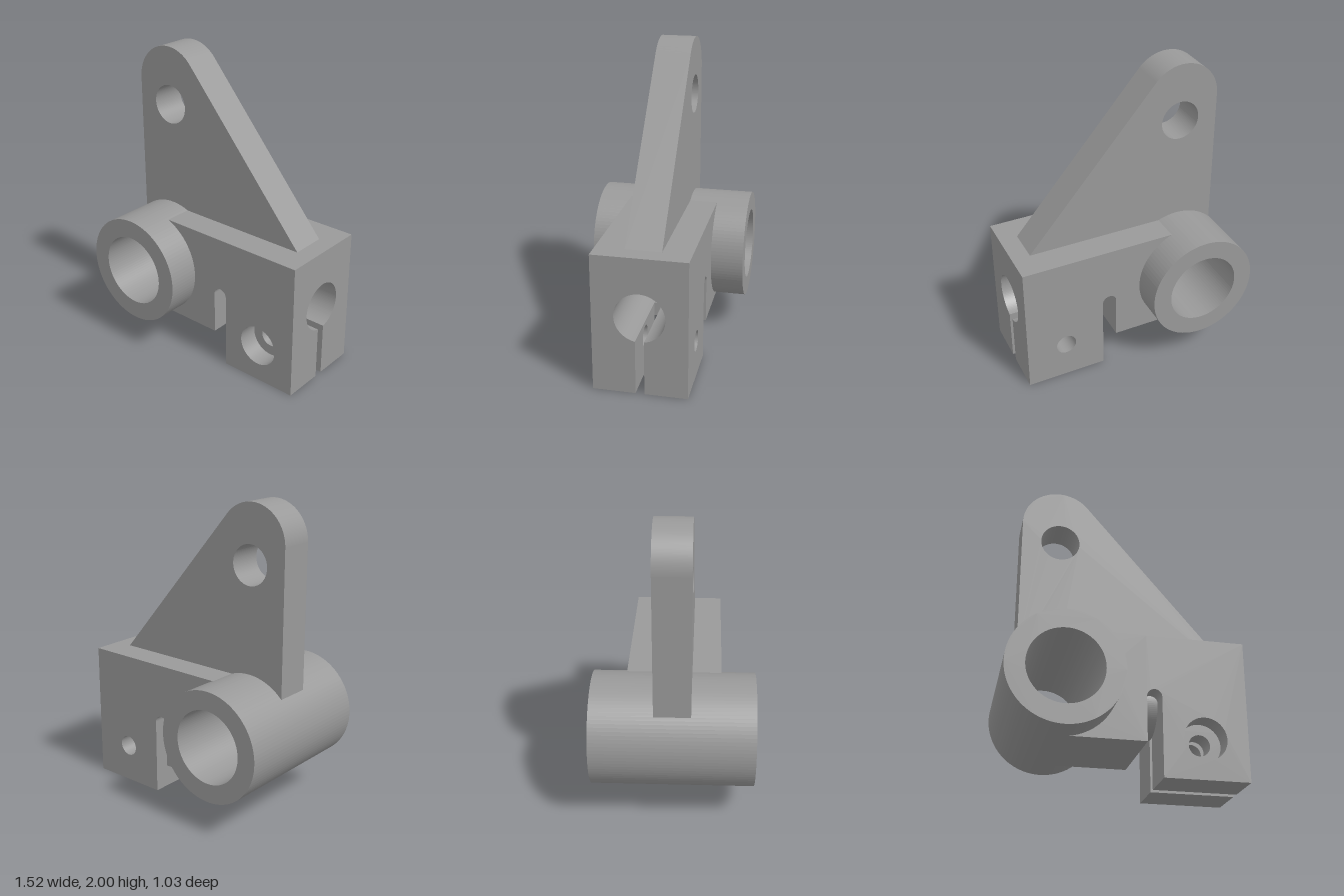
import * as THREE from 'three';

export function createModel() {
  const model = new THREE.Group();
  model.name = 'pivotBracket';
  const metal = new THREE.MeshStandardMaterial({ color: 0x999999 });
  metal.name = 'grey metal';

  const add = (name, geometry) => {
    const mesh = new THREE.Mesh(geometry, metal);
    mesh.name = name;
    model.add(mesh);
  };
  const extrude = (shape, depth) =>
    new THREE.ExtrudeGeometry(shape, { depth, bevelEnabled: false, curveSegments: 48 });
  // Profile in x and y, extruded from z0 to z1
  const alongZ = (name, shape, z0, z1) => add(name, extrude(shape, z1 - z0).translate(0, 0, z0));
  // Profile in z and y (symmetric in z), extruded from x0 to x1
  const alongX = (name, shape, x0, x1) =>
    add(name, extrude(shape, x1 - x0).rotateY(Math.PI / 2).translate(x0, 0, 0));
  const circle = (x, y, r) => new THREE.Path().absarc(x, y, r, 0, Math.PI * 2, false);
  const ring = (x, y, outer, inner) => {
    const s = new THREE.Shape().absarc(x, y, outer, 0, Math.PI * 2, false);
    s.holes.push(circle(x, y, inner));
    return s;
  };

  const px = -0.40, py = 0.57;            // pivot tube axis
  const top = 0.905, right = 0.76, half = 0.30;
  const slotL = 0.13, slotR = 0.225;      // relief slot
  const boreY = 0.515, boreR = 0.16, core = 0.165;
  const slit = 0.028, split = 0.345;

  // Pivot tube
  alongZ('pivotTube', ring(px, py, 0.36, 0.237), -0.513, 0.513);

  // Lug plate with rounded top and eye
  const lug = new THREE.Shape();
  lug.moveTo(0.64, 0.85);
  lug.lineTo(0.64, top);
  lug.absarc(-0.41, 1.755, 0.245, 0.713, Math.PI, false);
  lug.absarc(px, py, 0.33, Math.acos(-0.255 / 0.33), Math.PI / 3, true);
  lug.closePath();
  lug.holes.push(circle(-0.40, 1.62, 0.128));
  alongZ('lugPlate', lug, -0.115, 0.115);

  // Solid link between tube and slot
  const link = new THREE.Shape();
  link.moveTo(slotL, 0.215);
  link.lineTo(slotL, top);
  link.absarc(px, py, 0.355, Math.asin((top - py) / 0.355), -Math.PI / 2, true);
  link.closePath();
  alongZ('link', link, -half, half);

  // Outer cheeks of the clamp, with the slot arch and the screw hole
  const cheek = (holeR) => {
    const s = new THREE.Shape();
    const r = (slotR - slotL) / 2;
    s.moveTo(slotR, 0);
    s.lineTo(right, 0);
    s.lineTo(right, top);
    s.lineTo(slotL, top);
    s.absarc(slotL + r, 0.5025, r, Math.PI, 0, true);
    s.closePath();
    s.holes.push(circle(0.49, 0.255, holeR));
    return s;
  };
  alongZ('frontCheek', cheek(0.135), core, half);
  alongZ('backCheek', cheek(0.068), -half, -core);

  // Inner jaws either side of the slit
  const jaw = new THREE.Shape();
  jaw.moveTo(slotR, 0);
  jaw.lineTo(right, 0);
  jaw.lineTo(right, split);
  jaw.lineTo(slotR, split);
  jaw.closePath();
  jaw.holes.push(circle(0.49, 0.255, 0.068));
  alongZ('frontJaw', jaw, slit, core);
  alongZ('backJaw', jaw, -core, -slit);

  // Core around the shaft bore, open at the bottom from arc angle a
  const boreCore = (bottom, a) => {
    const s = new THREE.Shape();
    const w = boreR * Math.cos(a);
    s.moveTo(w, bottom);
    s.lineTo(core, bottom);
    s.lineTo(core, top);
    s.lineTo(-core, top);
    s.lineTo(-core, bottom);
    s.lineTo(-w, bottom);
    s.absarc(0, boreY, boreR, Math.PI - a, a, true);
    s.closePath();
    return s;
  };
  alongX('clampCore', boreCore(split, -Math.acos(slit / boreR)), slotR, right);
  alongX('bridgeCore', boreCore(0.589, Math.asin(0.075 / boreR)), slotL, slotR);

  // Sleeve that carries the bore across the slot
  alongX('boreSleeve', ring(0, boreY, 0.185, boreR), slotL, slotR);

  return model;
}
